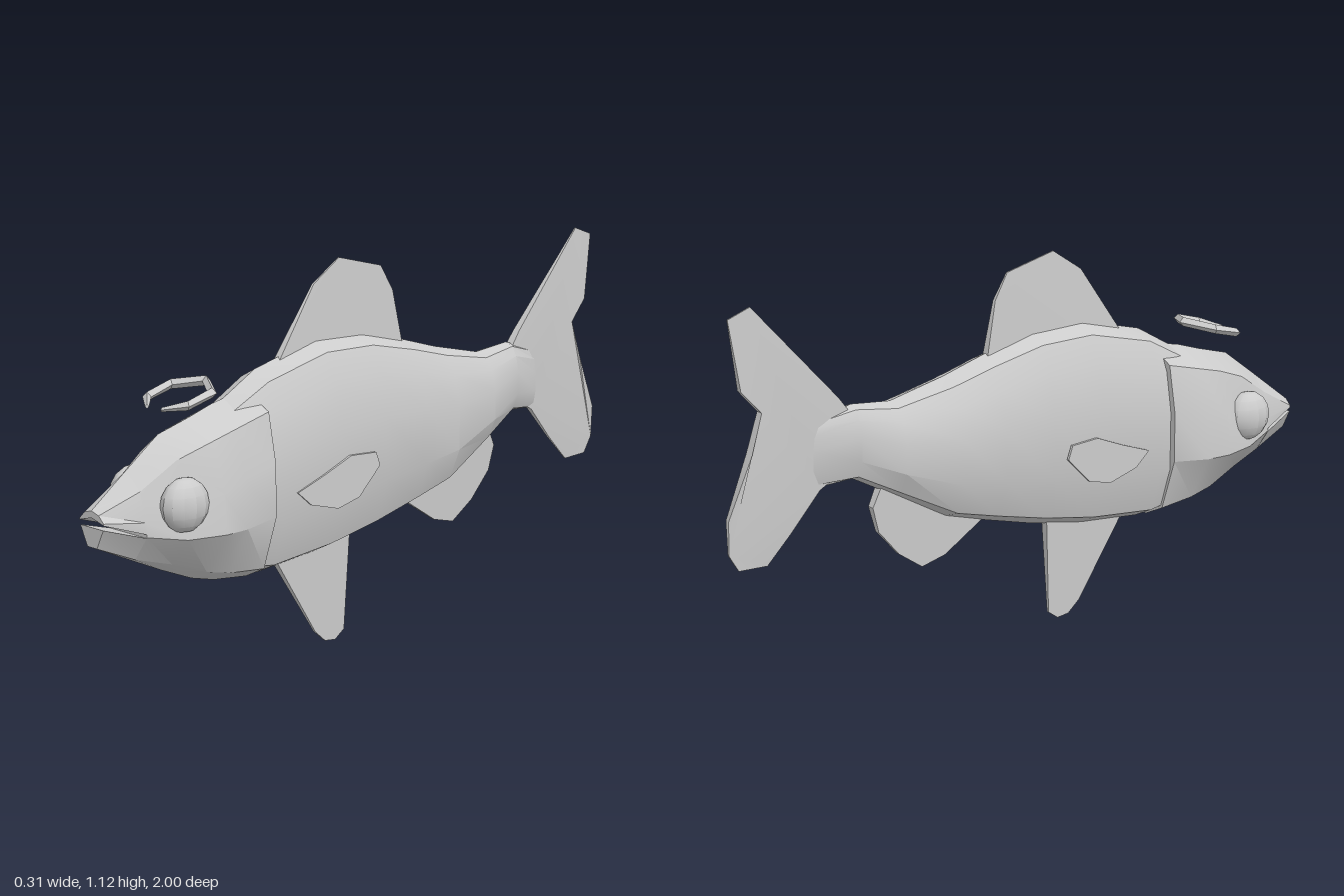
import * as THREE from 'three';
import { toCreasedNormals } from 'three/addons/utils/BufferGeometryUtils.js';

const grey = new THREE.MeshStandardMaterial({ color: 0xcccccc });

function part(name, geometry, crease = 0.45) {
  const mesh = new THREE.Mesh(toCreasedNormals(geometry, crease), grey);
  mesh.name = name;
  return mesh;
}

// Closed skin through rings of points, capped at both ends
function loft(rings) {
  const n = rings[0].length, pos = rings.flat(2), idx = [];
  for (let i = 0; i < rings.length - 1; i++) {
    for (let j = 0; j < n; j++) {
      const a = i * n + j, b = i * n + (j + 1) % n;
      idx.push(a, a + n, b, b, a + n, b + n);
    }
  }
  [0, rings.length - 1].forEach((r, end) => {
    const c = pos.length / 3;
    for (let k = 0; k < 3; k++) pos.push(rings[r].reduce((s, p) => s + p[k], 0) / n);
    for (let j = 0; j < n; j++) {
      const a = r * n + j, b = r * n + (j + 1) % n;
      idx.push(c, end ? b : a, end ? a : b);
    }
  });
  const g = new THREE.BufferGeometry();
  g.setAttribute('position', new THREE.Float32BufferAttribute(pos, 3));
  g.setIndex(idx);
  return g;
}

// Half outline [x, y] from bottom centre to top centre, mirrored into a ring at z
function ring(z, half) {
  const other = half.slice(1, -1).reverse().map(([x, y]) => [-x, y]);
  return [...half, ...other].map(([x, y]) => [x, y, z]);
}

// Flat fin from a [z, y] outline; half(z, y) is its half thickness, offset(z) its x
function blade(name, outline, half, offset = () => 0) {
  const shape = new THREE.Shape(outline.map(([z, y]) => new THREE.Vector2(z, y)));
  const g = new THREE.ExtrudeGeometry(shape, { depth: 2, bevelEnabled: false });
  g.translate(0, 0, -1).rotateY(-Math.PI / 2);
  const p = g.attributes.position;
  for (let i = 0; i < p.count; i++) {
    const y = p.getY(i), z = p.getZ(i);
    p.setX(i, offset(z) + Math.sign(p.getX(i)) * Math.max(0.002, half(z, y)));
  }
  return part(name, g);
}

export function createModel() {
  const fish = new THREE.Group();
  fish.name = 'fish';

  // Body: z, bottom, top, half width
  const body = [
    [0.58, 0.29, 0.75, 0.095], [0.42, 0.26, 0.84, 0.113], [0.2, 0.28, 0.895, 0.116],
    [0.02, 0.315, 0.89, 0.115], [-0.15, 0.36, 0.85, 0.111], [-0.29, 0.4, 0.81, 0.105],
    [-0.47, 0.5, 0.77, 0.081], [-0.6, 0.57, 0.783, 0.054], [-0.73, 0.565, 0.745, 0.008],
  ];
  fish.add(part('body', loft(body.map(([z, b, t, w]) => {
    const h = t - b;
    return ring(z, [[0, b], [0.64 * w, b + 0.06 * h], [w, b + 0.28 * h], [w, b + 0.6 * h],
      [0.8 * w, b + 0.82 * h], [0.5 * w, b + 0.95 * h], [0, t]]);
  }))));

  // Head, with the gill cover flaring over the front of the body
  fish.add(part('head', loft([
    ring(0.88, [[0, 0.385], [0.03, 0.39], [0.08, 0.46], [0.08, 0.5], [0.055, 0.58], [0, 0.63]]),
    ring(0.77, [[0, 0.335], [0.05, 0.36], [0.12, 0.44], [0.105, 0.52], [0.075, 0.65], [0, 0.71]]),
    ring(0.66, [[0, 0.29], [0.065, 0.32], [0.15, 0.44], [0.142, 0.55], [0.1, 0.69], [0, 0.74]]),
    ring(0.58, [[0, 0.27], [0.07, 0.303], [0.145, 0.44], [0.138, 0.58], [0.1, 0.71], [0, 0.765]]),
    ring(0.46, [[0, 0.257], [0.075, 0.293], [0.128, 0.45], [0.127, 0.6], [0.1, 0.74], [0, 0.79]]),
  ])));

  // Slightly open mouth
  fish.add(part('upperJaw', loft([
    ring(1, [[0, 0.525], [0.05, 0.508], [0.05, 0.513], [0.03, 0.532], [0, 0.54]]),
    ring(0.88, [[0, 0.47], [0.08, 0.468], [0.08, 0.5], [0.055, 0.58], [0, 0.63]]),
  ])));
  fish.add(part('lowerJaw', loft([
    ring(1, [[0, 0.44], [0.02, 0.44], [0.048, 0.495], [0, 0.495]]),
    ring(0.88, [[0, 0.385], [0.03, 0.39], [0.08, 0.458], [0, 0.458]]),
  ])));

  // Eyes
  for (const side of [1, -1]) {
    const eye = part(side > 0 ? 'leftEye' : 'rightEye', new THREE.SphereGeometry(0.075, 12, 8));
    eye.scale.x = 0.68;
    eye.position.set(side * 0.106, 0.535, 0.77);
    fish.add(eye);
  }

  // Fins on the centre line
  fish.add(blade('dorsalFin',
    [[0.355, 0.83], [0.2, 1.05], [0.1, 1.115], [-0.065, 1.075], [-0.11, 1], [-0.145, 0.83]],
    (z, y) => 0.012 * (1.13 - y) / 0.28));
  fish.add(blade('pelvicFin',
    [[0.355, 0.28], [0.2, 0.04], [0.16, 0.005], [0.12, 0], [0.085, 0.025], [0.07, 0.32]],
    (z, y) => 0.003 + 0.03 * y));
  fish.add(blade('analFin',
    [[-0.14, 0.38], [-0.29, 0.285], [-0.37, 0.265], [-0.45, 0.32], [-0.52, 0.4],
      [-0.54, 0.475], [-0.515, 0.527], [-0.45, 0.57]],
    (z, y) => 0.003 + 0.04 * (y - 0.26)));
  fish.add(blade('tailFin',
    [[-0.6, 0.75], [-0.645, 0.81], [-0.91, 1.1], [-0.98, 1.075], [-0.95, 0.876], [-0.89, 0.81],
      [-0.925, 0.7], [-1, 0.527], [-1, 0.43], [-0.97, 0.38], [-0.88, 0.376], [-0.8, 0.457],
      [-0.71, 0.56], [-0.6, 0.62]],
    (z, y) => 0.016 - 0.045 * Math.abs(y - 0.72)));

  // Pectoral fins lying along the flanks
  for (const side of [1, -1]) {
    fish.add(blade(side > 0 ? 'leftPectoralFin' : 'rightPectoralFin',
      [[0.37, 0.5], [0.32, 0.457], [0.22, 0.43], [0.14, 0.45], [0.06, 0.53], [0.075, 0.57],
        [0.17, 0.575], [0.27, 0.535]],
      () => 0.004, (z) => side * (0.114 + 0.03 * (0.37 - z))));
  }

  // Open angular ring floating above the head: x, z, thickness
  const arc = [[0.03, 0.78, 0.006], [0.085, 0.735, 0.013], [0.085, 0.65, 0.014], [0, 0.597, 0.014]];
  const path = [...arc, ...arc.slice(0, -1).reverse().map(([x, z, r]) => [-x, z, r])];
  fish.add(part('floatingRing', loft(path.map(([x, z, r]) => {
    const y = 0.832 - 0.27 * (z - 0.597);
    const len = Math.hypot(x, z - 0.69), ux = x / len * r, uz = (z - 0.69) / len * r;
    return [[x + ux, y, z + uz], [x, y + r, z], [x - ux, y, z - uz], [x, y - r, z]];
  })), 0.3));

  return fish;
}
